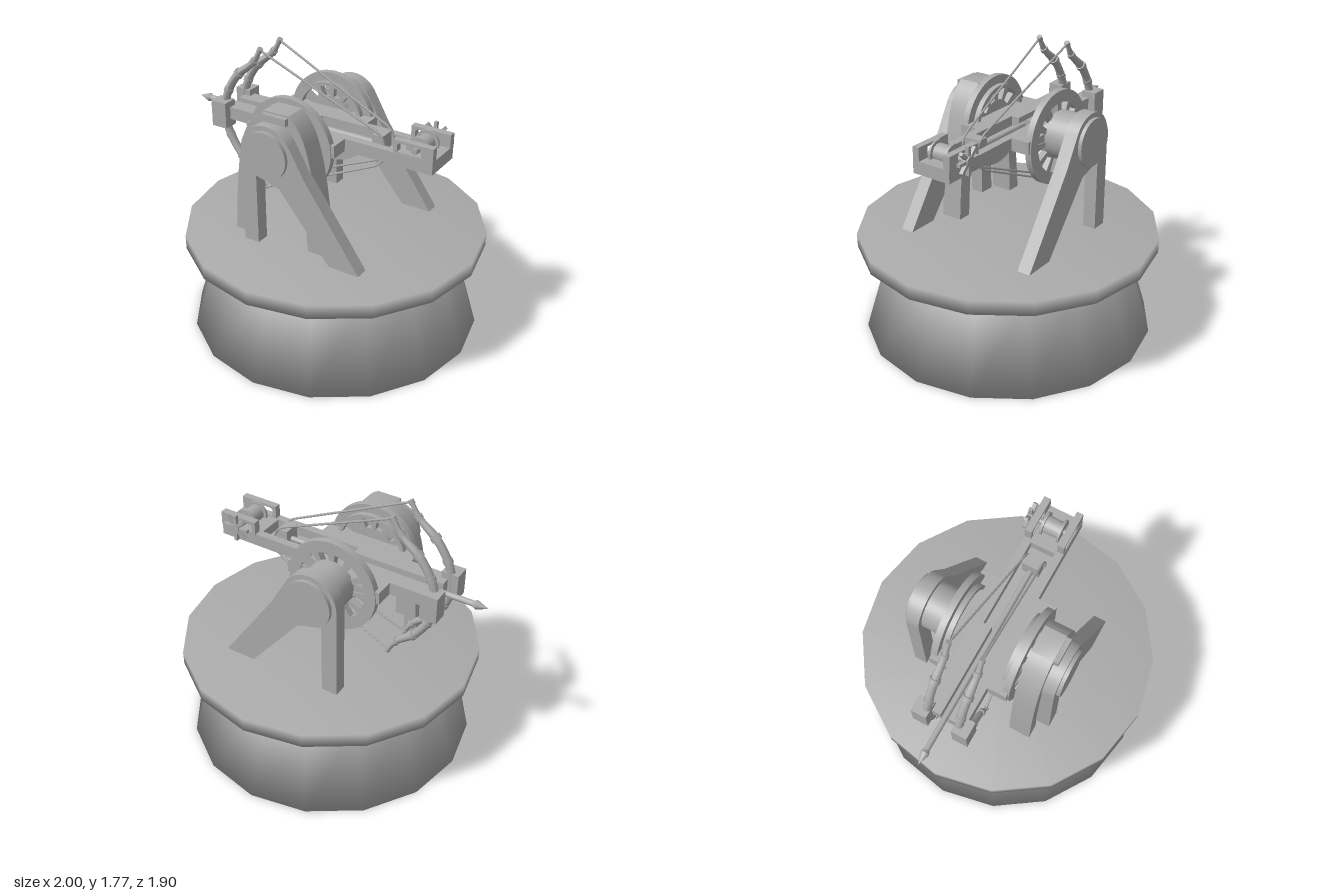
import * as THREE from 'three';
import { mergeVertices, toCreasedNormals } from 'three/addons/utils/BufferGeometryUtils.js';

const HUB_X = -0.122, HUB_Y = 1.29;

export function createModel() {
  const model = new THREE.Group();
  const grey = new THREE.MeshStandardMaterial({ color: 0xaaaaaa });
  grey.name = 'plain grey';

  const add = (name, geometry, x = 0, y = 0, z = 0) => {
    const mesh = new THREE.Mesh(geometry, grey);
    mesh.name = name;
    mesh.position.set(x, y, z);
    model.add(mesh);
    return mesh;
  };
  // Box given by its limits on each axis
  const box = (name, x0, x1, y0, y1, z0, z1) =>
    add(name, new THREE.BoxGeometry(x1 - x0, y1 - y0, z1 - z0), (x0 + x1) / 2, (y0 + y1) / 2, (z0 + z1) / 2);
  // Cylinder lying along z
  const axle = (name, r, x, y, z0, z1, sides = 32) =>
    add(name, new THREE.CylinderGeometry(r, r, Math.abs(z1 - z0), sides).rotateX(Math.PI / 2), x, y, (z0 + z1) / 2);
  // Outline in x, y pushed from z0 to z1
  const slab = (name, shape, z0, z1) =>
    add(name, toCreasedNormals(new THREE.ExtrudeGeometry(shape, { depth: z1 - z0, bevelEnabled: false, curveSegments: 24 }), 0.6), 0, 0, z0);
  // Sixteen-sided drum with normals blended over its edges
  const softDrum = (name, rTop, rBottom, y0, y1) => {
    let g = new THREE.CylinderGeometry(rTop, rBottom, y1 - y0, 16);
    g.deleteAttribute('normal');
    g.deleteAttribute('uv');
    g = mergeVertices(g, 1e-4);
    g.computeVertexNormals();
    add(name, g, 0.047, (y0 + y1) / 2, 0);
  };

  // Pedestal
  softDrum('pedestal', 0.745, 0.925, 0, 0.585);
  softDrum('turntable', 0.95, 0.95, 0.585, 0.675);

  // A-frame supports with a rounded head
  const support = new THREE.Shape();
  support.moveTo(-0.302, 0.67);
  support.lineTo(-0.302, HUB_Y);
  support.absarc(HUB_X, HUB_Y, 0.18, Math.PI, 0.55, true);
  support.lineTo(0.14, 1.195);
  support.lineTo(0.51, 0.67);
  support.lineTo(0.31, 0.67);
  support.lineTo(-0.035, 1.09);
  support.lineTo(-0.2, 1.14);
  support.lineTo(-0.2, 0.67);
  slab('leftSupport', support, 0.402, 0.487);
  slab('rightSupport', support, -0.487, -0.402);

  // Slotted wheels
  const wheelY = 1.265;
  const wheel = new THREE.Shape().absarc(HUB_X, wheelY, 0.295, 0, Math.PI * 2);
  for (let i = 0; i < 12; i++) {
    const a = (i + 0.5) * Math.PI / 6;
    const slot = new THREE.Path();
    slot.absarc(HUB_X, wheelY, 0.22, a - 0.16, a + 0.16, false);
    slot.absarc(HUB_X, wheelY, 0.135, a + 0.16, a - 0.16, true);
    slot.closePath();
    wheel.holes.push(slot);
  }
  const rim = new THREE.Shape().absarc(HUB_X, wheelY, 0.24, 0, Math.PI * 2);
  rim.holes.push(new THREE.Path().absarc(HUB_X, wheelY, 0.215, 0, Math.PI * 2));
  slab('leftWheel', wheel, 0.215, 0.257);
  slab('rightWheel', wheel, -0.257, -0.215);
  slab('leftInnerRim', rim, 0.182, 0.215);
  slab('rightInnerRim', rim, -0.215, -0.182);
  for (const s of [1, -1]) {
    axle('hubDrum', 0.148, HUB_X, HUB_Y, s * 0.25, s * 0.41);
    axle('hubCap', 0.15, HUB_X, HUB_Y, s * 0.48, s * 0.51);
  }

  // Curved brace over the left hub
  const arch = new THREE.Shape();
  arch.moveTo(-0.425, 0.67);
  arch.quadraticCurveTo(-0.4, 1.1, -0.355, 1.28);
  arch.quadraticCurveTo(-0.31, 1.46, -0.18, 1.53);
  arch.lineTo(-0.015, 1.53);
  arch.quadraticCurveTo(0.08, 1.46, 0.12, 1.28);
  arch.quadraticCurveTo(0.17, 1.1, 0.2, 0.67);
  arch.lineTo(0.108, 0.67);
  arch.quadraticCurveTo(0.08, 1.1, 0.04, 1.28);
  arch.quadraticCurveTo(0, 1.44, -0.12, 1.44);
  arch.quadraticCurveTo(-0.25, 1.44, -0.29, 1.28);
  arch.quadraticCurveTo(-0.33, 1.1, -0.335, 0.67);
  slab('hubBrace', arch, 0.27, 0.41);
  box('bracePlate', -0.18, -0.015, 1.475, 1.52, 0.28, 0.44);

  // Stock: floor, grooved rails and side decks
  box('stockFloor', -0.7, 0.765, 1.25, 1.268, -0.13, 0.13);
  box('stockEnd', 0.49, 0.765, 1.268, 1.33, -0.13, 0.13);
  for (const s of [1, -1]) {
    const rail = (name, x0, x1, y0, y1, z0, z1) =>
      box(name, x0, x1, y0, y1, Math.min(s * z0, s * z1), Math.max(s * z0, s * z1));
    rail('frontRail', -0.7, -0.1, 1.268, 1.33, 0.025, 0.13);
    rail('rearRail', -0.1, 0.49, 1.268, 1.33, 0.08, 0.13);
    rail('sideDeck', -0.437, 0.19, 1.25, 1.33, 0.13, 0.25);
    rail('bowBracket', -0.765, -0.657, 1.2, 1.37, 0.08, 0.178);
  }
  box('stringBlock', 0.33, 0.4, 1.215, 1.365, -0.055, 0.055);

  // Bows, collars and strings
  const bowPath = (z) => new THREE.CatmullRomCurve3([
    [-0.425, 1.75], [-0.48, 1.66], [-0.61, 1.545], [-0.695, 1.4], [-0.715, 1.28],
    [-0.695, 1.16], [-0.61, 1.02], [-0.48, 0.9], [-0.425, 0.81],
  ].map(([x, y]) => new THREE.Vector3(x, y, z)));
  for (const z of [0.103, -0.103]) {
    const path = bowPath(z), steps = 48, sides = 10;
    const bow = new THREE.TubeGeometry(path, steps, 0.026, sides, false);
    const pos = bow.attributes.position, v = new THREE.Vector3();
    for (let i = 0; i <= steps; i++) {
      const centre = path.getPointAt(i / steps);
      const fromTip = 1 - Math.abs(2 * i / steps - 1);
      const taper = Math.min(1, 0.5 + fromTip * 1.3);
      for (let j = 0; j <= sides; j++) {
        const k = i * (sides + 1) + j;
        v.fromBufferAttribute(pos, k).sub(centre).multiplyScalar(taper).add(centre);
        pos.setXYZ(k, v.x, v.y, v.z);
      }
    }
    bow.computeVertexNormals();
    add('bow', bow);
    for (const [u, r] of [[0.006, 0.018], [0.09, 0.025], [0.225, 0.033], [0.36, 0.03]]) {
      for (const t of [u, 1 - u]) {
        const p = path.getPointAt(t);
        const collar = add('bowCollar', new THREE.CylinderGeometry(r, r, 0.028, 12), p.x, p.y, p.z);
        collar.quaternion.setFromUnitVectors(new THREE.Vector3(0, 1, 0), path.getTangentAt(t));
      }
    }
    const zs = z * 0.56;
    const string = new THREE.CurvePath();
    const knots = [[-0.425, 1.745, z], [0.36, 1.392, zs], [0.4, 1.36, zs], [0.415, 1.32, zs],
      [0.415, 1.24, zs], [0.4, 1.2, zs], [0.36, 1.168, zs], [-0.425, 0.815, z]].map((k) => new THREE.Vector3(...k));
    for (let i = 1; i < knots.length; i++) string.add(new THREE.LineCurve3(knots[i - 1], knots[i]));
    add('bowString', new THREE.TubeGeometry(string, 100, 0.007, 6, false));
  }

  // Bolt
  const shaft = add('boltShaft', new THREE.CylinderGeometry(0.018, 0.018, 1.26, 12), -0.3, 1.29, 0);
  const head = add('boltHead', new THREE.ConeGeometry(0.028, 0.075, 12), -0.9625, 1.29, 0);
  const neck = add('boltNeck', new THREE.CylinderGeometry(0.028, 0.018, 0.02, 12), -0.915, 1.29, 0);
  for (const part of [shaft, head, neck]) part.rotation.z = Math.PI / 2;

  // Winch: pierced cheeks, drum and spoked handwheel
  const cheek = new THREE.Shape([[0.51, 1.32], [0.765, 1.32], [0.765, 1.412], [0.51, 1.412]].map((p) => new THREE.Vector2(...p)));
  const opening = new THREE.Path();
  opening.moveTo(0.535, 1.338);
  opening.lineTo(0.69, 1.338);
  opening.lineTo(0.69, 1.395);
  opening.lineTo(0.56, 1.395);
  opening.quadraticCurveTo(0.535, 1.395, 0.535, 1.37);
  opening.closePath();
  cheek.holes.push(opening);
  slab('winchCheek', cheek, 0.085, 0.128);
  slab('winchCheek', cheek, -0.135, -0.09);
  const wx = 0.635, wy = 1.352;
  axle('winchDrum', 0.055, wx, wy, -0.06, 0.06, 20);
  axle('winchFlange', 0.075, wx, wy, 0.05, 0.064, 20);
  axle('winchFlange', 0.075, wx, wy, -0.064, -0.05, 20);
  axle('winchAxle', 0.018, wx, wy, -0.18, 0.11, 12);
  axle('handwheelHub', 0.032, wx, wy, -0.18, -0.145, 16);
  for (let i = 0; i < 8; i++) {
    const spoke = add('handwheelSpoke', new THREE.BoxGeometry(0.065, 0.02, 0.024).translate(0.055, 0, 0), wx, wy, -0.16);
    spoke.rotation.z = i * Math.PI / 4;
  }

  return model;
}
